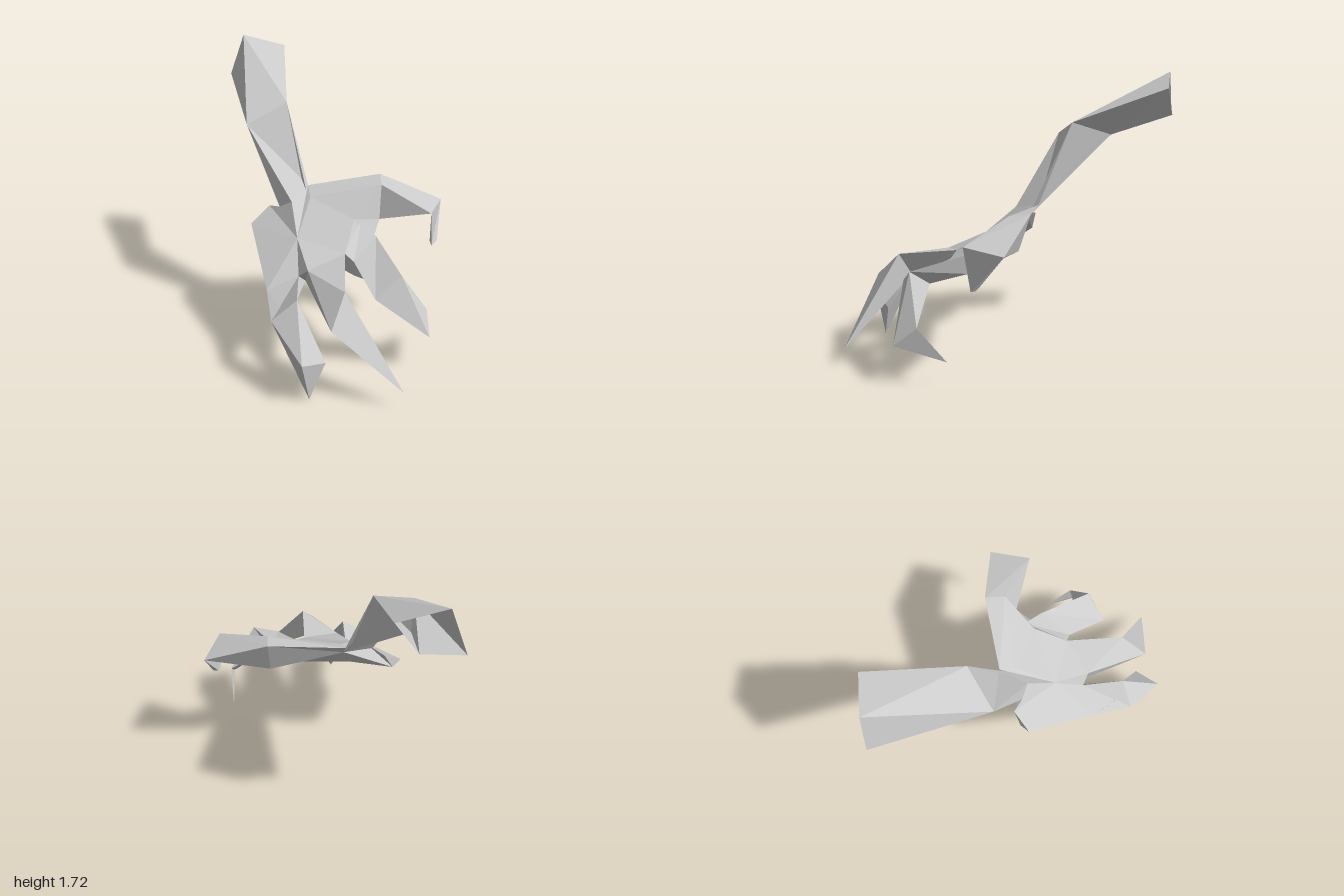
import * as THREE from 'three';

const material = new THREE.MeshStandardMaterial({ color: 0xcccccc, flatShading: true, side: THREE.DoubleSide });

// Skins a surface over cross-sections, from tip to root; a section with
// fewer points repeats its last one, and one point makes a tip.
function loft(name, sections) {
  const count = Math.max(...sections.map(s => s.length));
  const rings = sections.map(s =>
    Array.from({ length: count }, (_, i) => new THREE.Vector3(...s[Math.min(i, s.length - 1)])));
  const root = new THREE.Vector3();
  rings.at(-1).forEach(p => root.addScaledVector(p, 1 / count));

  const triangles = [];
  let volume = 0;
  const add = (a, b, c) => {
    const cross = b.clone().sub(a).cross(c.clone().sub(a));
    if (cross.length() < 1e-7) return;
    volume += a.clone().sub(root).dot(cross);
    triangles.push([a, b, c]);
  };
  for (let r = 0; r < rings.length - 1; r++) {
    const [a, b] = [rings[r], rings[r + 1]];
    for (let i = 0; i < count; i++) {
      const j = (i + 1) % count;
      add(a[i], a[j], b[j]);
      add(a[i], b[j], b[i]);
    }
  }
  // Turn the skin outward
  if (volume < 0) triangles.forEach(t => t.reverse());
  const geometry = new THREE.BufferGeometry().setFromPoints(triangles.flat());
  geometry.computeVertexNormals();
  const mesh = new THREE.Mesh(geometry, material);
  mesh.name = name;
  return mesh;
}

export function createModel() {
  const group = new THREE.Group();
  group.name = 'clawedHand';

  // Shared corners of the palm
  const crown = [0.05, 0.72, 0.13];
  const heel = [-0.27, 0.81, 0.0];
  const heelTop = [-0.18, 0.83, 0.01];
  const armRoot = [-0.09, 0.885, 0.0];
  const wristTop = [-0.1, 0.93, -0.19];
  const wristUnder = [-0.06, 0.85, -0.14];
  const upperRoot = [-0.03, 0.89, -0.12];
  const upperWeb = [0.29, 0.81, -0.15];
  const lowerWeb = [0.36, 0.68, 0.06];
  const gapA = [0.17, 0.56, 0.28];
  const gapB = [0.24, 0.62, 0.28];
  const frontTop = [0.04, 0.485, 0.43];
  const frontUnder = [0.01, 0.405, 0.36];
  const gapUnder = [0.15, 0.475, 0.18];
  const sideUnder = [0.28, 0.54, 0.01];
  const backUnder = [0.4, 0.6, -0.15];
  const heelUnder = [-0.3, 0.69, 0.06];

  // Palm: a bent slab with its top faces meeting at the crown and a flat underside
  group.add(loft('palm', [
    [crown],
    [heel, [-0.32, 0.715, 0.13], frontTop, gapA, gapB, lowerWeb, upperWeb, upperRoot, wristTop, armRoot, heelTop],
    [heelUnder, heelUnder, frontUnder, gapUnder, gapUnder, sideUnder, backUnder,
      wristUnder, wristUnder, wristUnder, heelUnder],
    [[0.01, 0.635, 0.03]],
  ]));

  // Forearm: bent at the wrist, hollow at the cut end
  const bend = [-0.46, 1.32, -0.02];
  group.add(loft('forearm', [
    [[-0.91, 1.72, -0.55], [-0.68, 1.65, -0.71], [-0.8, 1.47, -0.66], [-1, 1.44, -0.51]],
    [bend, [-0.32, 1.43, -0.26], [-0.6, 1.33, -0.34], bend],
    [armRoot, wristTop, wristUnder, wristUnder, heelTop],
  ]));

  // Front finger: a wedge to the knuckle, then a claw
  const frontKnuckle = [[0.22, 0.43, 0.62], [0.32, 0.55, 0.5]];
  group.add(loft('frontFinger', [
    [[0.505, 0, 0.63]],
    [[0.51, 0.28, 0.71], [0.55, 0.22, 0.53], [0.505, 0, 0.63]],
    [...frontKnuckle, [0.26, 0.47, 0.54]],
    [frontTop, gapA, gapUnder, frontUnder],
  ]));

  // Middle finger: one long spike from the knuckle
  const middleKnuckle = [0.6, 0.465, 0.55];
  group.add(loft('middleFinger', [
    [[1, 0.11, 0.38]],
    [[0.57, 0.63, 0.37], middleKnuckle, middleKnuckle, [0.48, 0.48, 0.36]],
    [lowerWeb, gapB, gapUnder, sideUnder],
  ]));

  // Third finger: curls back under itself
  group.add(loft('thirdFinger', [
    [[0.735, 0.165, -0.28]],
    [[0.93, 0.245, -0.03], [0.84, 0.36, -0.14], [0.86, 0.3, -0.08]],
    [[0.67, 0.53, 0.195], [0.75, 0.64, 0.03], [0.6, 0.53, 0.03]],
    [[0.42, 0.64, 0.05], [0.44, 0.73, -0.17], [0.45, 0.6, -0.15], [0.42, 0.53, 0.03]],
    [lowerWeb, [0.3, 0.8, -0.22], backUnder, sideUnder],
  ]));

  // Upper finger: a thick wedge with a thin hooked claw
  const hookFront = [0.7, 0.875, -0.39];
  const hookBack = [0.63, 0.86, -0.645];
  group.add(loft('upperFinger', [
    [[0.69, 0.625, -0.44], [0.7, 0.645, -0.49], [0.67, 0.65, -0.48], [0.67, 0.65, -0.45]],
    [hookFront, hookBack, hookBack, hookFront],
    [[0.34, 0.98, -0.38], [0.265, 1.0, -0.485], [0.3, 0.77, -0.42], [0.37, 0.77, -0.32]],
    [upperWeb, wristTop, wristUnder, backUnder],
  ]));
  // Top of the upper finger's root, joining it to the palm
  group.add(loft('upperFingerRoot', [
    [[0.34, 0.98, -0.38]],
    [upperWeb, upperRoot, wristTop],
  ]));

  return group;
}
